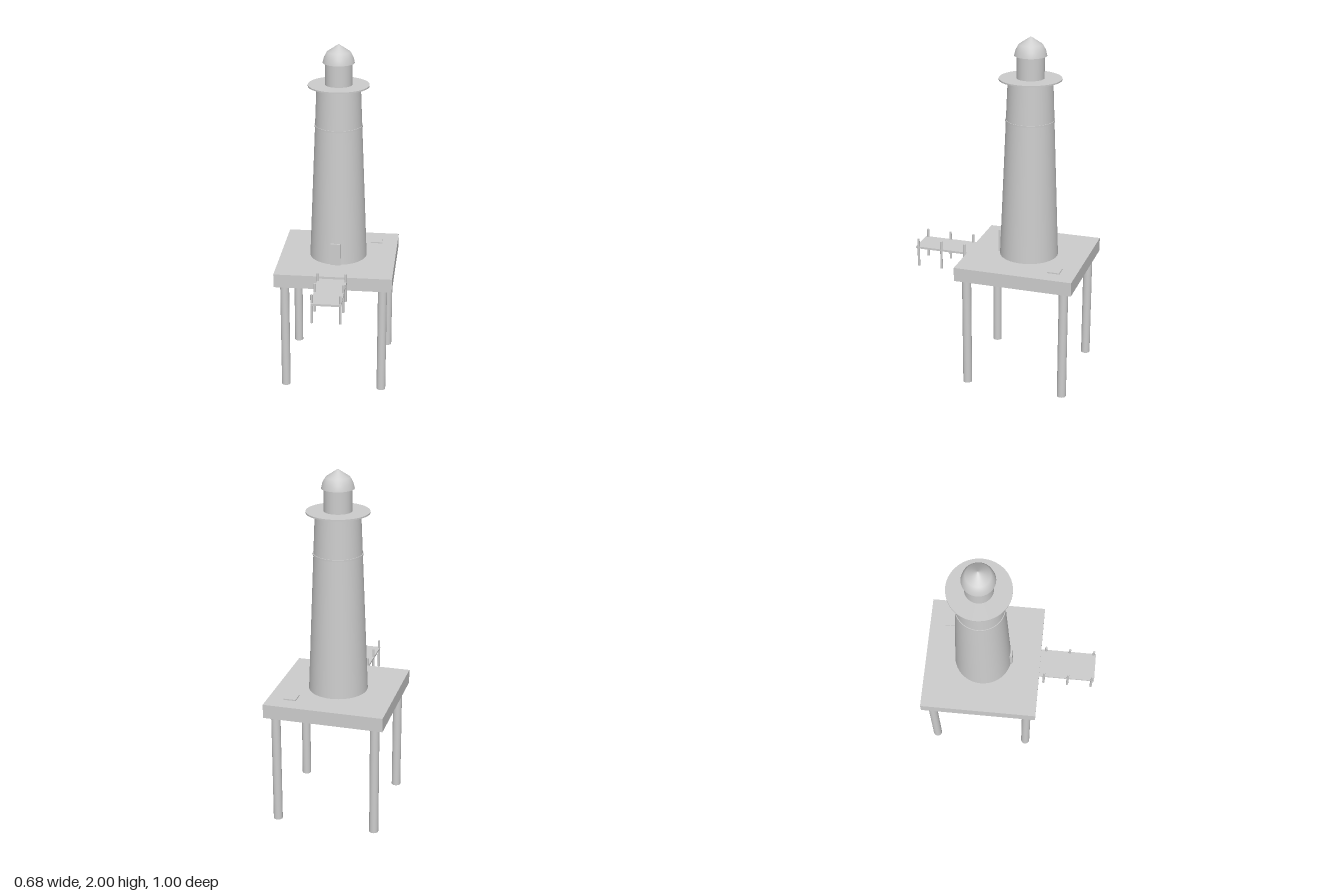
import * as THREE from 'three';

export function createModel() {
  const group = new THREE.Group();
  const grey = new THREE.MeshStandardMaterial({ color: 0xcccccc });
  grey.name = 'light grey';
  const Z = -0.166; // tower and platform centre

  function add(name, geometry, x, y, z) {
    const mesh = new THREE.Mesh(geometry, grey);
    mesh.name = name;
    mesh.position.set(x, y, z);
    group.add(mesh);
    return mesh;
  }
  // Box and cylinder placed by their bottom and top heights
  const box = (name, w, d, y0, y1, x, z) =>
    add(name, new THREE.BoxGeometry(w, y1 - y0, d), x, (y0 + y1) / 2, z);
  const cyl = (name, rTop, rBottom, y0, y1, x, z, sides = 48) =>
    add(name, new THREE.CylinderGeometry(rTop, rBottom, y1 - y0, sides), x, (y0 + y1) / 2, z);

  // Platform on four legs
  box('platform', 0.678, 0.678, 0.655, 0.735, 0, Z);
  for (const sx of [-1, 1])
    for (const sz of [-1, 1])
      cyl('leg', 0.026, 0.026, 0, 0.655, sx * 0.283, Z + sz * 0.283, 24);
  box('hatch', 0.07, 0.07, 0.735, 0.742, 0.213, -0.378);

  // Tapered tower with a band and a door
  cyl('tower', 0.125, 0.167, 0.735, 1.763, 0, Z);
  cyl('band', 0.138, 0.138, 1.526, 1.536, 0, Z);
  box('door', 0.06, 0.05, 0.735, 0.865, 0, -0.017);

  // Gallery, lantern room and pointed dome
  cyl('gallery', 0.174, 0.174, 1.762, 1.77, 0, Z, 64);
  cyl('lantern', 0.077, 0.077, 1.77, 1.896, 0, Z);
  const profile = [[0.09, 0], [0.083, 0.03], [0.066, 0.061], [0, 0.105]]
    .map(([r, y]) => new THREE.Vector2(r, y));
  add('dome', new THREE.LatheGeometry(profile, 48), 0, 1.895, Z);
  const underside = add('domeUnderside', new THREE.CircleGeometry(0.09, 48), 0, 1.895, Z);
  underside.rotation.x = Math.PI / 2;

  // Jetty with six posts
  box('jetty', 0.168, 0.328, 0.71, 0.722, 0, 0.336);
  for (const x of [-0.079, 0.079])
    for (const z of [0.202, 0.344, 0.486])
      cyl('jettyPost', 0.007, 0.007, 0.6, 0.77, x, z, 16);

  return group;
}
